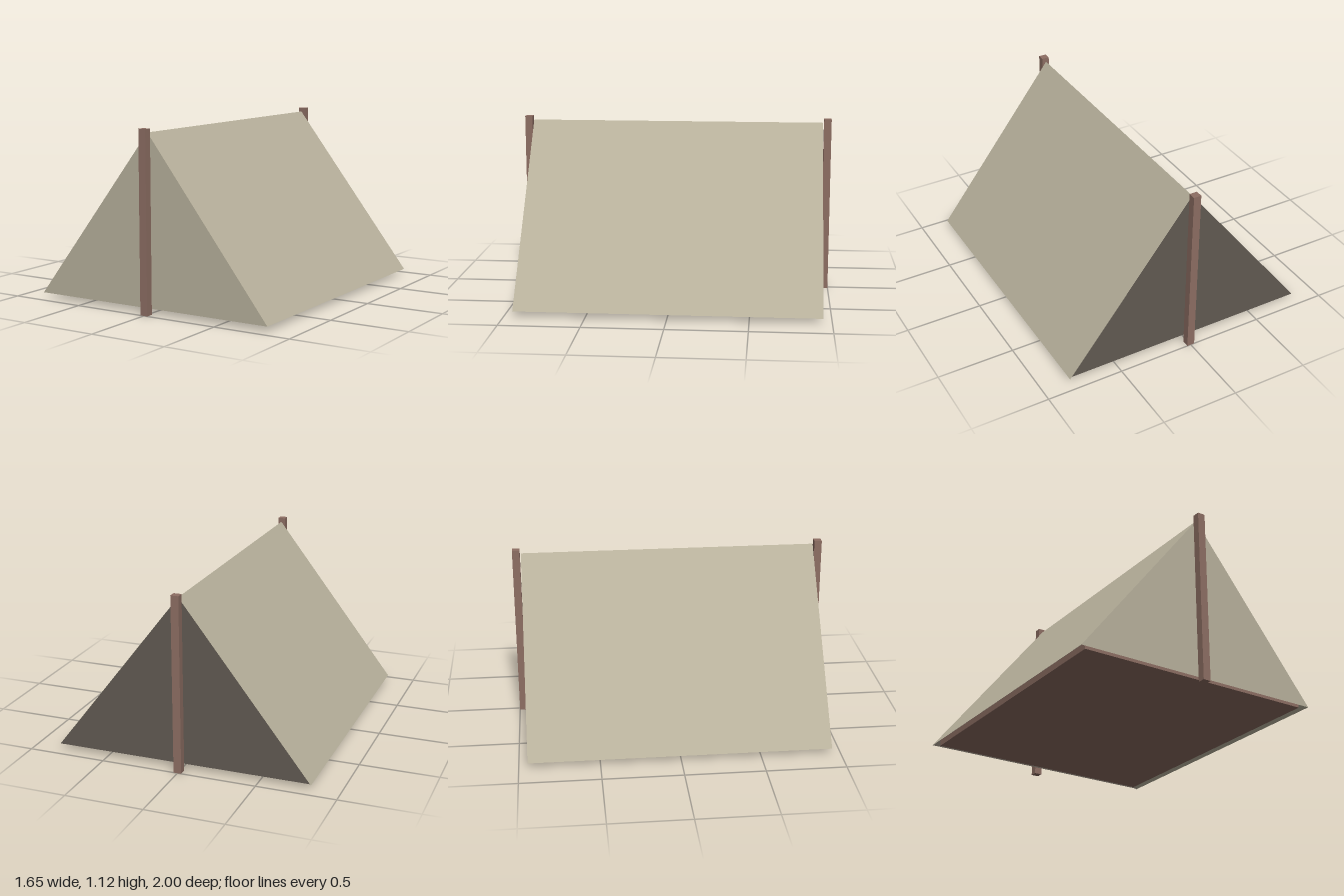
import * as THREE from 'three';

const HALF_WIDTH = 0.826, BASE = 0.035, APEX = 1.1, HALF_LENGTH = 0.945;

function material(name, color, side = THREE.FrontSide) {
  const m = new THREE.MeshStandardMaterial({ color, side });
  m.name = name;
  return m;
}

export function createModel() {
  const tent = new THREE.Group();
  tent.name = 'tent';

  const canvas = material('canvas', 0xb8b19c, THREE.DoubleSide);
  const shade = material('dark entrance', 0x615a52, THREE.DoubleSide);
  const wood = material('wood', 0x8d6e63);

  const add = (name, geometry, mat, x = 0, y = 0, z = 0) => {
    const mesh = new THREE.Mesh(geometry, mat);
    mesh.name = name;
    mesh.position.set(x, y, z);
    tent.add(mesh);
    return mesh;
  };

  // Sloping roof sheets, mirrored about the ridge
  const rise = APEX - BASE;
  const slope = Math.hypot(HALF_WIDTH, rise);
  for (const side of [1, -1]) {
    const sheet = new THREE.PlaneGeometry(2 * HALF_LENGTH, slope);
    sheet.rotateX(-Math.atan2(HALF_WIDTH, rise)).rotateY(side * Math.PI / 2);
    add(side > 0 ? 'leftRoof' : 'rightRoof', sheet, canvas,
      side * HALF_WIDTH / 2, (APEX + BASE) / 2, 0);
  }

  // Triangular end walls; the dark entrance sits slightly inside the roof edge
  const triangle = new THREE.Shape([
    new THREE.Vector2(-HALF_WIDTH, BASE),
    new THREE.Vector2(HALF_WIDTH, BASE),
    new THREE.Vector2(0, APEX),
  ]);
  const wall = new THREE.ShapeGeometry(triangle);
  add('frontWall', wall, canvas, 0, 0, HALF_LENGTH);
  add('backEntrance', wall, shade, 0, 0, -HALF_LENGTH + 0.015).rotation.y = Math.PI;

  // Floor slab, inset from the canvas
  add('floor', new THREE.BoxGeometry(1.56, 0.04, 1.82), wood, 0, BASE + 0.02, 0);

  // Square poles at both ends
  const pole = new THREE.BoxGeometry(0.05, 1.125, 0.048);
  add('frontPole', pole, wood, 0, 0.5625, 0.976);
  add('backPole', pole, wood, 0, 0.5625, -0.976);

  return tent;
}
